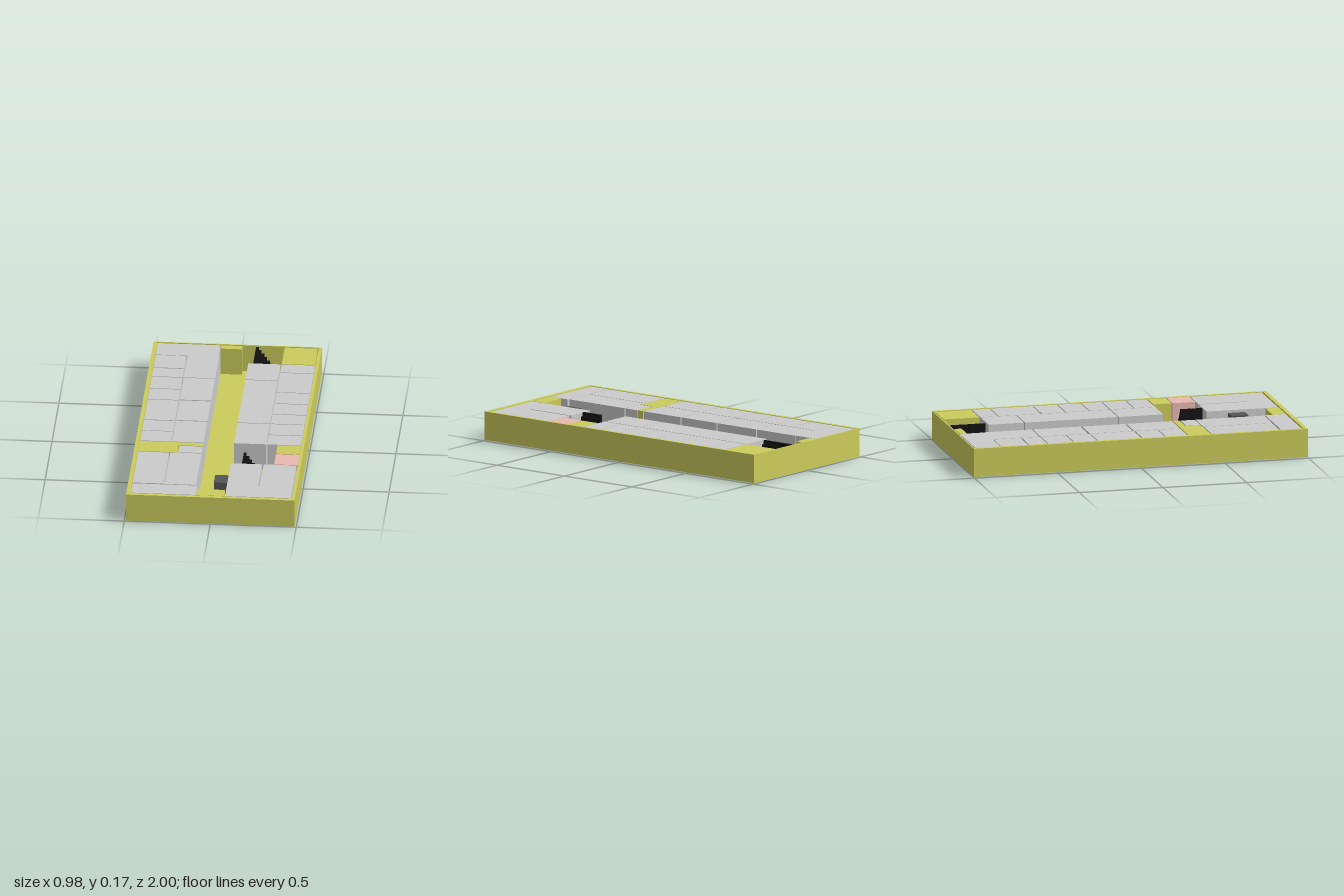
import * as THREE from 'three';

const TOP = 0.172;
const mat = (color) => new THREE.MeshStandardMaterial({ color });

export function createModel() {
  const model = new THREE.Group();
  const yellow = mat(0xcccc5c), grey = mat(0xcccccc), pink = mat(0xe8b8b0);
  const dark = mat(0x555555), black = mat(0x111111);

  // Box given by its plan rectangle and its bottom and top heights
  function block(name, material, [x0, x1, z0, z1], y0, y1, parent = model) {
    const mesh = new THREE.Mesh(new THREE.BoxGeometry(x1 - x0, y1 - y0, z1 - z0), material);
    mesh.position.set((x0 + x1) / 2, (y0 + y1) / 2, (z0 + z1) / 2);
    mesh.name = name;
    parent.add(mesh);
    return mesh;
  }
  function group(name) {
    const g = new THREE.Group();
    g.name = name;
    model.add(g);
    return g;
  }

  // Floor slab and outer walls
  block('floor', yellow, [-0.467, 0.472, -0.992, 0.977], 0.001, 0.006);
  const outline = new THREE.Shape([
    [-0.49, -1], [0.49, -1], [0.49, 1], [-0.49, 1]].map((p) => new THREE.Vector2(...p)));
  outline.holes.push(new THREE.Path([
    [-0.467, -0.977], [-0.467, 0.992], [0.472, 0.992], [0.472, -0.977]].map((p) => new THREE.Vector2(...p))));
  const wallGeo = new THREE.ExtrudeGeometry(outline, { depth: TOP - 0.004, bevelEnabled: false });
  wallGeo.rotateX(-Math.PI / 2);
  const walls = new THREE.Mesh(wallGeo, yellow);
  walls.name = 'outerWalls';
  walls.position.y = 0.004;
  model.add(walls);

  // Rooms in columns: x range, then z ranges
  const columns = [
    [-0.464, -0.284, [[-0.83, -0.669], [-0.661, -0.553], [-0.547, -0.398], [-0.392, -0.256],
      [-0.25, 0.01], [0.018, 0.151], [0.157, 0.286], [0.43, 0.835]]],
    [-0.278, -0.096, [[-0.835, -0.553], [-0.547, -0.262], [-0.252, 0.005], [0.013, 0.286], [0.428, 0.838]]],
    [0.08, 0.268, [[-0.765, -0.553], [-0.547, 0.008], [0.014, 0.279]]],
    [0.274, 0.468, [[-0.765, -0.661], [-0.655, -0.404], [-0.398, -0.258], [-0.252, -0.118],
      [-0.112, 0.008], [0.014, 0.151], [0.157, 0.279]]],
  ];
  const rooms = group('rooms');
  for (const [x0, x1, spans] of columns)
    for (const [z0, z1] of spans) block('room', grey, [x0, x1, z0, z1], 0.002, 0.17, rooms);

  // Rooms that break the columns
  const odd = [
    [-0.464, -0.1, -0.985, -0.835], // back corner
    [-0.464, -0.088, 0.846, 0.968], // front corner
    [-0.232, -0.096, 0.337, 0.422], // small cross room
    [0.083, 0.264, 0.54, 0.968],
    [0.274, 0.465, 0.54, 0.835],
    [0.264, 0.465, 0.835, 0.968],
  ];
  for (const r of odd) block('room', grey, r, 0.002, 0.17, rooms);

  // Service rooms
  const service = group('serviceRooms');
  for (const r of [
    [-0.464, -0.238, 0.292, 0.424], [-0.238, -0.096, 0.292, 0.331],
    [0.334, 0.468, 0.285, 0.395], [0.274, 0.465, -0.985, -0.771],
    [-0.095, 0.028, -0.985, -0.942], [-0.085, 0.077, 0.89, 0.97],
  ]) block('serviceRoom', yellow, r, 0.002, 0.17, service);
  block('pinkRoom', pink, [0.334, 0.472, 0.4, 0.535], 0, 0.17);
  block('liftShaft', dark, [0.002, 0.08, 0.668, 0.768], 0.002, 0.155);

  // Stairs climbing towards -x, in two lanes
  function stairs(name, x0, x1, z0, z1, top, steps = 8) {
    const g = group(name);
    const run = (x1 - x0) / steps, mid = (z0 + z1) / 2;
    for (let i = 0; i < steps; i++) {
      const a = x0 + i * run, h = top * (steps - i) / steps;
      for (const [za, zb] of [[z0, mid - 0.002], [mid + 0.002, z1]])
        block('step', black, [a, a + run, za, zb], 0.004, h, g);
    }
  }
  stairs('backStairs', 0.108, 0.236, -0.982, -0.778, 0.17);
  stairs('frontStairs', 0.148, 0.274, 0.402, 0.532, 0.174);

  return model;
}
